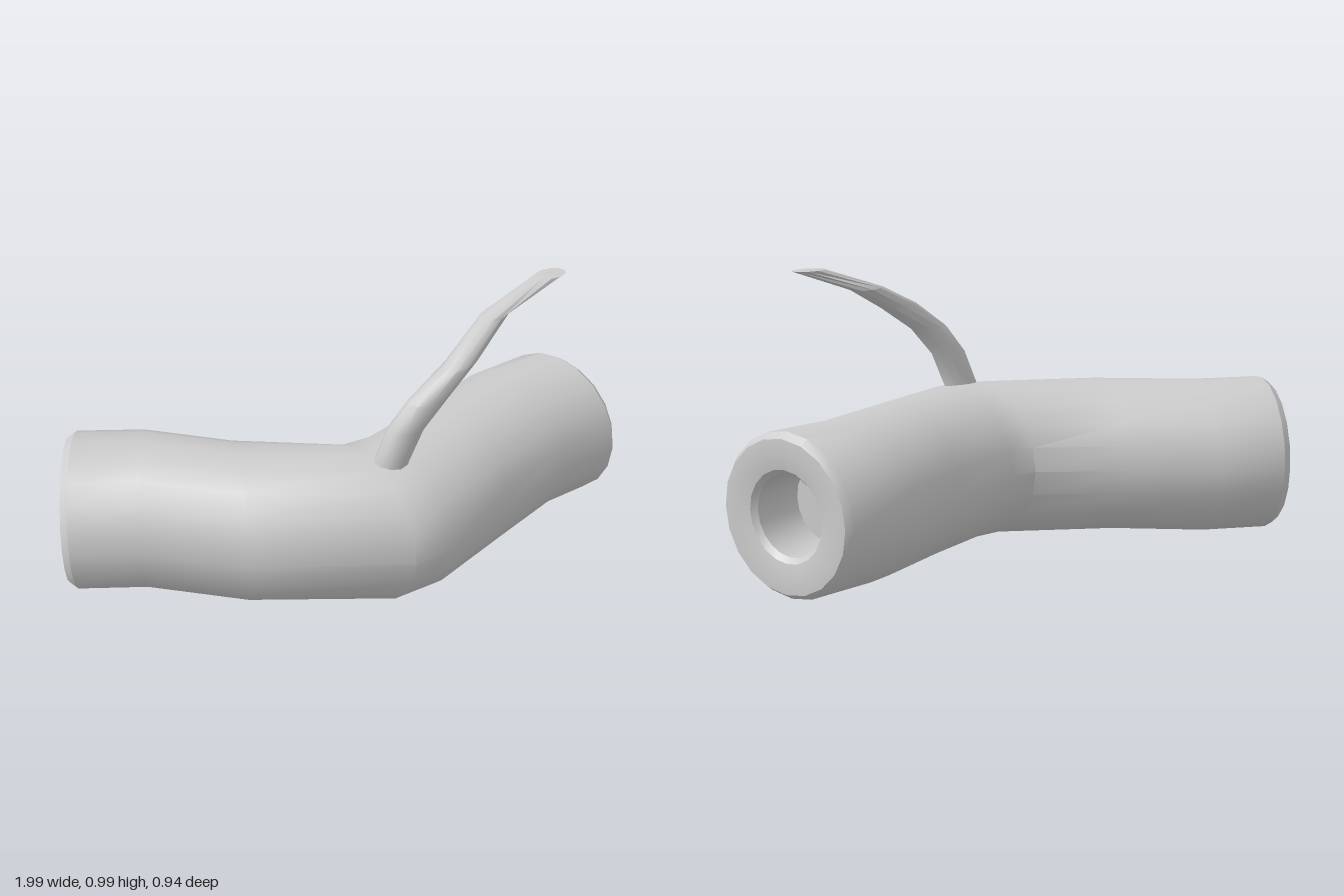
import * as THREE from 'three';
import { toCreasedNormals } from 'three/addons/utils/BufferGeometryUtils.js';

const material = new THREE.MeshStandardMaterial({ color: 0xcccccc });
const vec = (x, y, z) => new THREE.Vector3(x, y, z);

// Skin over elliptical rings { c: centre, u, v: half axes }
function loft(name, rings, sides, crease) {
  const positions = [], index = [];
  rings.forEach(({ c, u, v }, i) => {
    for (let j = 0; j < sides; j++) {
      const a = (j / sides) * Math.PI * 2;
      const p = c.clone().addScaledVector(u, Math.cos(a)).addScaledVector(v, Math.sin(a));
      positions.push(p.x, p.y, p.z);
      if (i === rings.length - 1) continue;
      const k = (j + 1) % sides, lo = i * sides, hi = lo + sides;
      index.push(lo + j, lo + k, hi + j, lo + k, hi + k, hi + j);
    }
  });
  const geometry = new THREE.BufferGeometry();
  geometry.setAttribute('position', new THREE.Float32BufferAttribute(positions, 3));
  geometry.setIndex(index);
  const mesh = new THREE.Mesh(toCreasedNormals(geometry, crease), material);
  mesh.name = name;
  return mesh;
}

const scaled = (ring, s, offset) => ({
  c: ring.c.clone().add(offset),
  u: ring.u.clone().multiplyScalar(s),
  v: ring.v.clone().multiplyScalar(s),
});

export function createModel() {
  const group = new THREE.Group();
  group.name = 'bentTubeWithStem';

  // Bent body: back x, z and front x, z of each cross-section
  const sections = [
    [-0.86, -0.38, -0.98, 0.14],
    [-0.64, -0.33, -0.75, 0.19],
    [-0.38, -0.19, -0.42, 0.35],
    [-0.07, -0.07, 0.10, 0.465],
    [0.02, -0.09, 0.24, 0.42],
    [0.27, -0.24, 0.50, 0.24],
    [0.47, -0.38, 0.77, 0.06],
    [0.70, -0.47, 0.975, -0.015],
  ].map(([bx, bz, fx, fz]) => ({
    c: vec((bx + fx) / 2, 0.27, (bz + fz) / 2),
    u: vec((bx - fx) / 2, 0, (bz - fz) / 2),
    v: vec(0, 0.267, 0),
  }));

  // Bevelled end with a blind hole: radius ratio and outward offset
  const endProfile = [[0, -0.18], [0.5, -0.18], [0.5, 0], [0.56, 0.018], [0.75, 0.028], [0.93, 0.025]];
  const endRings = (ring, sign) => {
    const normal = ring.u.clone().cross(ring.v).normalize().multiplyScalar(sign);
    return endProfile.map(([s, d]) => scaled(ring, s, normal.clone().multiplyScalar(d)));
  };
  const body = [
    ...endRings(sections[0], -1),
    ...sections,
    ...endRings(sections[sections.length - 1], 1).reverse(),
  ];
  group.add(loft('tubeBody', body, 20, 0.6));

  // Curved stem: centre, long and short half axes, turn about y
  const stem = [
    [0.075, 0.50, 0.232, 0.060, 0.048, 0],
    [0.08, 0.53, 0.232, 0.060, 0.048, 0],
    [0.125, 0.645, 0.232, 0.062, 0.048, 0.05],
    [0.20, 0.74, 0.225, 0.070, 0.048, 0.25],
    [0.325, 0.83, 0.17, 0.090, 0.045, 0.7],
    [0.48, 0.915, 0.04, 0.075, 0.040, 0.7],
    [0.695, 0.995, -0.035, 0.057, 0.036, 0.2],
  ].map(([x, y, z, long, short, a]) => ({
    c: vec(x, y, z),
    u: vec(Math.cos(a), 0, -Math.sin(a)).multiplyScalar(long),
    v: vec(-Math.sin(a), 0, -Math.cos(a)).multiplyScalar(short),
  }));
  // Flat tip
  stem.push(scaled(stem[stem.length - 1], 0, vec(0, 0, 0)));
  group.add(loft('stem', stem, 10, 0.8));

  return group;
}
